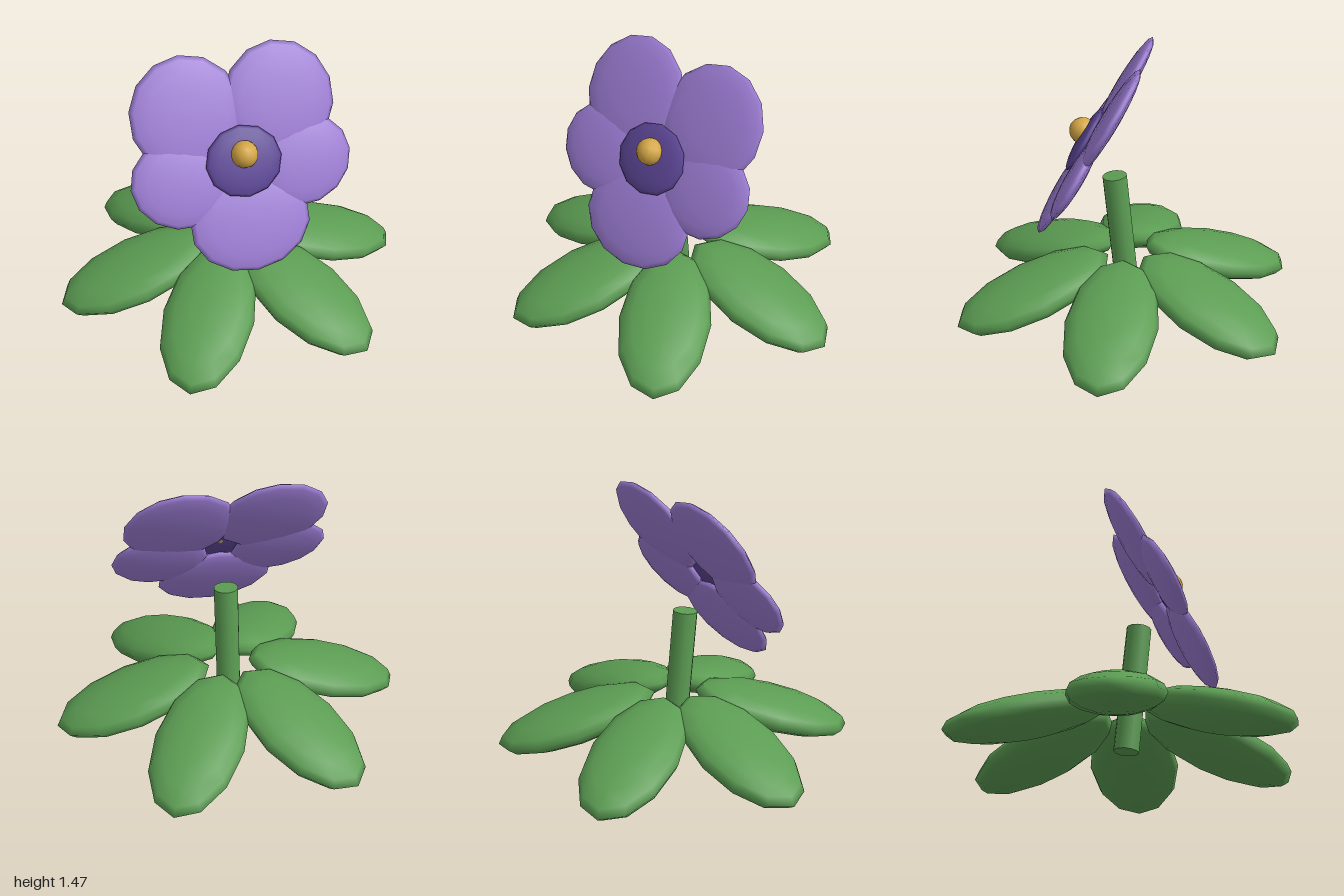
import * as THREE from 'three';

const material = (name, color) => {
  const m = new THREE.MeshStandardMaterial({ color });
  m.name = name;
  return m;
};

export function createModel() {
  const leafGreen = material('leaf green', 0x5c9d53);
  const petalViolet = material('petal violet', 0x9b7bd2);
  const throatPurple = material('throat purple', 0x5b4594);
  const centreGold = material('centre gold', 0xd4a645);

  const model = new THREE.Group();
  model.name = 'flower plant';

  const add = (parent, name, geometry, mat, x, y, z) => {
    const mesh = new THREE.Mesh(geometry, mat);
    mesh.name = name;
    mesh.position.set(x, y, z);
    parent.add(mesh);
    return mesh;
  };

  // Rosette of six drooping leaves
  const leafGeometry = new THREE.SphereGeometry(1, 12, 8).scale(0.46, 0.105, 0.25);
  for (let i = 0; i < 6; i++) {
    const pivot = new THREE.Group();
    pivot.name = 'leafPivot';
    pivot.rotation.y = (i * Math.PI) / 3;
    add(pivot, 'leaf', leafGeometry, leafGreen, 0.555, 0.17, 0).rotation.z = -0.3;
    model.add(pivot);
  }

  // Stem leaning slightly forward
  const stem = add(model, 'stem', new THREE.CylinderGeometry(0.068, 0.068, 0.71, 12), leafGreen, 0, 0.418, 0.035);
  stem.rotation.x = 0.1;

  // Blossom facing forward and upward
  const blossom = new THREE.Group();
  blossom.name = 'blossom';
  blossom.position.set(0, 0.955, 0.195);
  blossom.rotation.x = -0.52;
  model.add(blossom);

  // Flattened ball whose thin axis is z
  const disc = (sides, w, h, d) =>
    new THREE.SphereGeometry(1, sides, 8).rotateY(Math.PI / 2).rotateX(Math.PI / 2).scale(w, h, d);

  // Mirrored upper and side petals, single lower petal
  const upper = disc(14, 0.305, 0.313, 0.045);
  const side = disc(14, 0.27, 0.24, 0.045);
  for (const s of [-1, 1]) {
    add(blossom, 'upperPetal', upper, petalViolet, s * 0.25, 0.28, 0);
    add(blossom, 'sidePetal', side, petalViolet, s * 0.335, -0.06, 0).rotation.z = s * 0.25;
  }
  add(blossom, 'lowerPetal', disc(14, 0.33, 0.265, 0.045), petalViolet, 0, -0.328, 0);

  // Dark throat and round centre
  add(blossom, 'throat', disc(12, 0.207, 0.19, 0.035), throatPurple, 0, 0, 0.045);
  add(blossom, 'centre', new THREE.SphereGeometry(0.072, 12, 8), centreGold, 0, 0.04, 0.08);

  return model;
}
